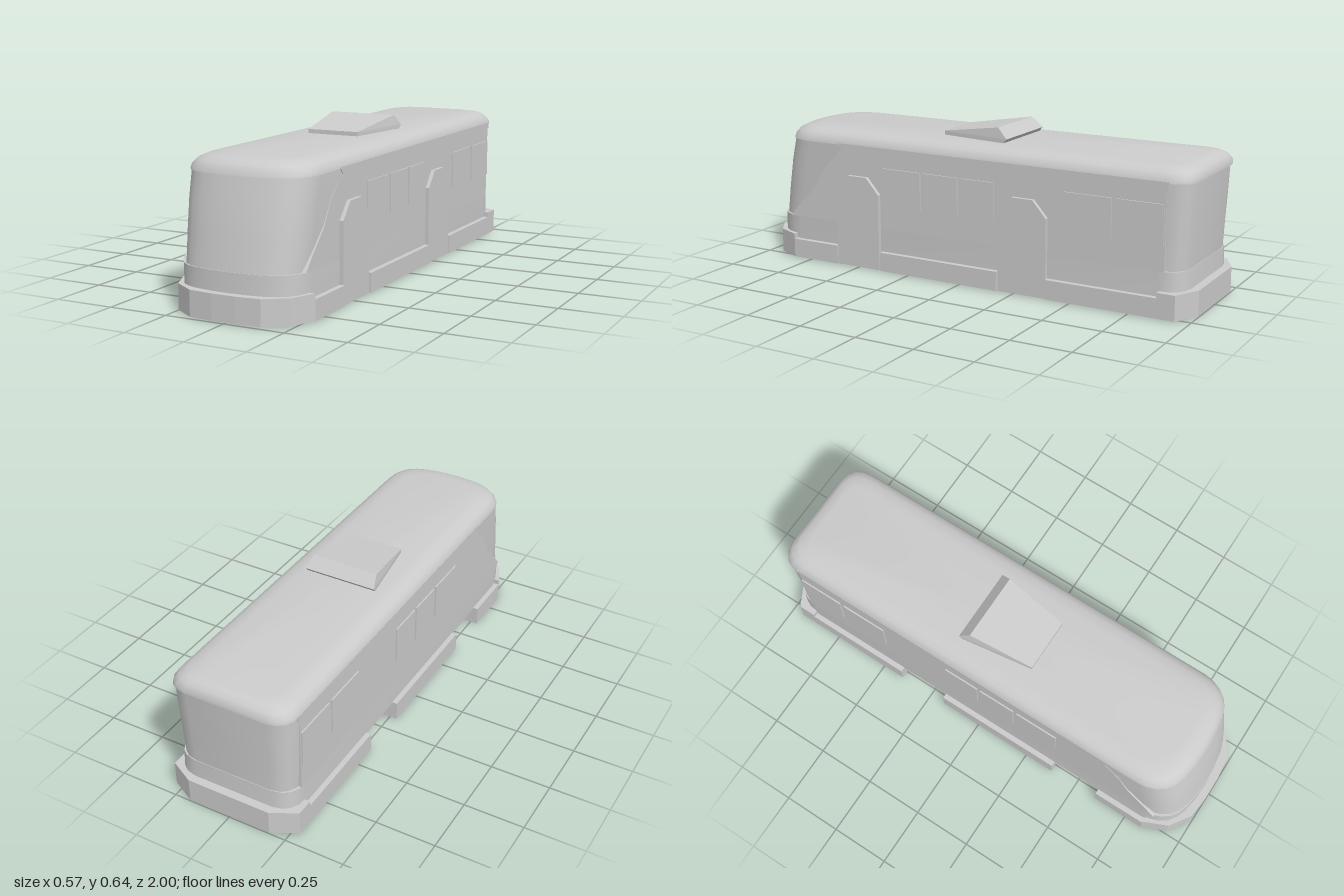
import * as THREE from 'three';
import { toCreasedNormals } from 'three/addons/utils/BufferGeometryUtils.js';
import { ConvexGeometry } from 'three/addons/geometries/ConvexGeometry.js';

const grey = new THREE.MeshStandardMaterial({ color: 0xcccccc });

// Half plan outlines, from the nose to the tail: [share of half width, setback]
const NOSE = [[0, 0], [0.3, 0.004], [0.55, 0.014], [0.72, 0.03], [0.84, 0.052], [0.93, 0.085], [0.98, 0.12], [1, 0.16]];
const TAIL = [[1, 0.1], [0.98, 0.06], [0.92, 0.03], [0.82, 0.01], [0.66, 0], [0, 0]];

function ring([y, w, front, back]) {
  const half = [
    ...NOSE.map(([x, s]) => [x * w, front - s]),
    ...TAIL.map(([x, s]) => [x * w, back + s]),
  ];
  const mirrored = half.slice(1, -1).reverse().map(([x, z]) => [-x, z]);
  return [...half, ...mirrored].map(([x, z]) => new THREE.Vector3(x, y, z));
}

// Closed skin through plan sections stacked from bottom to top
function loft(sections, crease = 0.6) {
  const rings = sections.map(ring);
  const n = rings[0].length;
  const pos = [];
  const tri = (...pts) => pts.forEach((p) => pos.push(p.x, p.y, p.z));
  const middle = (s) => new THREE.Vector3(0, s[0], (s[2] + s[3]) / 2);
  const top = rings.length - 1;
  for (let j = 0; j < n; j++) {
    const k = (j + 1) % n;
    for (let i = 0; i < top; i++) {
      tri(rings[i][j], rings[i][k], rings[i + 1][k]);
      tri(rings[i][j], rings[i + 1][k], rings[i + 1][j]);
    }
    tri(middle(sections[top]), rings[top][j], rings[top][k]);
    tri(middle(sections[0]), rings[0][k], rings[0][j]);
  }
  const geo = new THREE.BufferGeometry();
  geo.setAttribute('position', new THREE.Float32BufferAttribute(pos, 3));
  return toCreasedNormals(geo, crease);
}

const shapeOf = (pts) => new THREE.Shape(pts.map(([a, b]) => new THREE.Vector2(a, b)));

// Plan outline [x, z] raised from y0 to y1
function slab(pts, y0, y1) {
  const geo = new THREE.ExtrudeGeometry(shapeOf(pts.map(([x, z]) => [x, -z])), { depth: y1 - y0, bevelEnabled: false });
  return geo.rotateX(-Math.PI / 2).translate(0, y0, 0);
}

// Side outline [z, y] spanning x0 to x1
function sidePlate(pts, x0, x1) {
  const geo = new THREE.ExtrudeGeometry(shapeOf(pts.map(([z, y]) => [-z, y])), { depth: x1 - x0, bevelEnabled: false });
  return geo.rotateY(Math.PI / 2).translate(x0, 0, 0);
}

const mirrorPlan = (half) => [...half, ...half.slice().reverse().map(([x, z]) => [-x, z])];
const rect = (z0, z1, y0, y1) => [[z0, y0], [z1, y0], [z1, y1], [z0, y1]];

export function createModel() {
  const model = new THREE.Group();
  const add = (name, geo) => {
    const mesh = new THREE.Mesh(geo, grey);
    mesh.name = name;
    model.add(mesh);
  };

  // Skirt with wheel openings, and its taller bumpers
  const nose = [[0.15, 0.99], [0.24, 0.93], [0.284, 0.83]];
  const tail = [[0.284, -0.945], [0.18, -1]];
  const wells = [[0.6, 0.38], [-0.18, -0.4]];
  const wellPoints = wells.flatMap(([a, b]) => [[0.284, a], [0.2, a], [0.2, b], [0.284, b]]);
  add('skirt', slab(mirrorPlan([[0.05, 1], ...nose, ...wellPoints, ...tail]), 0.005, 0.085));
  add('frontBumper', slab(mirrorPlan([[0.05, 1], ...nose]), 0.085, 0.107));
  add('rearBumper', slab(mirrorPlan([[0.284, -0.87], ...tail]), 0.085, 0.107));
  add('floorPlate', slab(mirrorPlan([[0.12, 0.91], [0.2, 0.83], [0.2, -0.85], [0.13, -0.91]]), 0, 0.006));

  // Lower body, tapering cabin with the wraparound windscreen, and domed roof
  add('lowerBody', loft([[0.08, 0.262, 0.97, -0.967], [0.184, 0.262, 0.968, -0.962]]));
  add('cabin', loft([
    [0.184, 0.252, 0.965, -0.96],
    [0.3, 0.256, 0.948, -0.965],
    [0.42, 0.26, 0.927, -0.971],
    [0.525, 0.262, 0.903, -0.975],
  ]));
  add('roof', loft([
    [0.524, 0.265, 0.908, -0.985],
    [0.54, 0.262, 0.903, -0.984],
    [0.562, 0.245, 0.888, -0.972],
    [0.576, 0.22, 0.862, -0.952],
    [0.583, 0.18, 0.815, -0.915],
  ], 0.9));

  // Side walls, cut back along the windscreen, and the roof lip above
  const wall = [[-0.89, 0.184], [0.86, 0.184], [0.8, 0.25], [0.72, 0.33], [0.67, 0.42], [0.58, 0.505], [-0.89, 0.505]];
  const windows = [[0.187, 0.375], [0.01, 0.17], [-0.16, -0.005], [-0.67, -0.47], [-0.885, -0.69]];
  for (const [side, s] of [['left', 1], ['right', -1]]) {
    const addSide = (name, pts, x0, x1) => {
      const geo = sidePlate(pts, x0, x1);
      if (s < 0) geo.rotateY(Math.PI).scale(1, 1, 1);
      add(side + name, geo);
    };
    // The half turn reverses z, so outlines are flipped for the right side
    const flip = (pts) => pts.map(([z, y]) => [s * z, y]);
    addSide('Wall', flip(wall), 0.245, 0.262);
    addSide('RoofLip', flip([[-0.9, 0.505], [0.58, 0.505], [0.6, 0.53], [-0.9, 0.53]]), 0.245, 0.265);
    for (const [z0, z1] of windows) addSide('Window', flip(rect(z0, z1, 0.288, 0.445)), 0.255, 0.268);
  }

  // Two doors with clipped tops, on the left side only
  for (const z of [0.495, -0.292]) {
    const door = [[-0.107, 0.005], [0.107, 0.005], [0.107, 0.33], [0.047, 0.398], [-0.047, 0.398], [-0.107, 0.33]];
    add('door', sidePlate(door.map(([a, y]) => [z + a, y]), 0.255, 0.278));
  }

  // Wedge-shaped roof scoop
  const scoop = [[0.112, 0.578, 0.16], [0.112, 0.6, 0.16], [0.145, 0.643, -0.112], [0.158, 0.6, -0.157], [0.156, 0.578, -0.138]];
  add('roofScoop', new ConvexGeometry(scoop.flatMap(([x, y, z]) => [
    new THREE.Vector3(x, y, z), new THREE.Vector3(-x, y, z),
  ])));

  return model;
}
